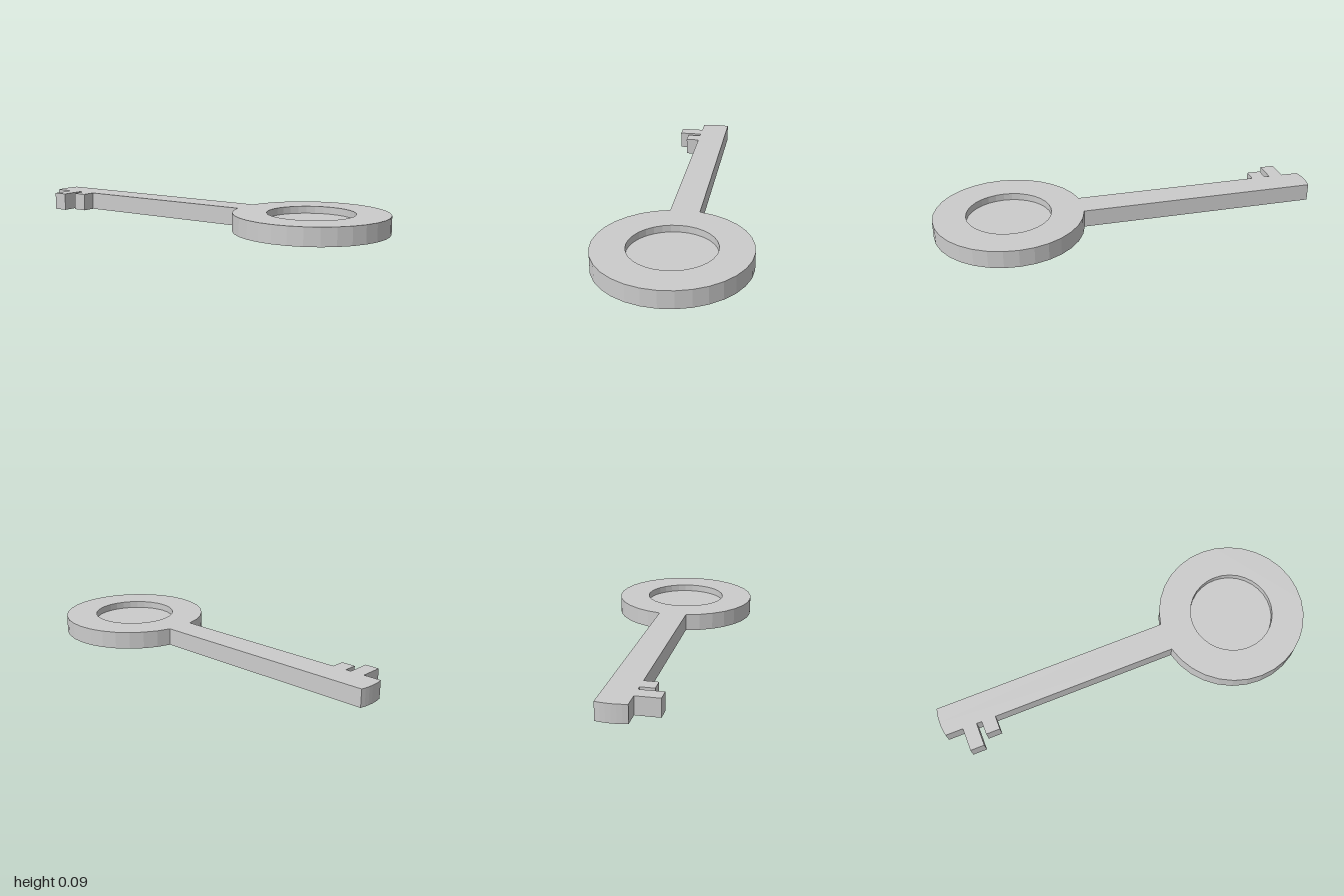
import * as THREE from 'three';

const THICK = 0.09;      // overall thickness
const BOW_X = 0.618;     // centre of the round bow
const BOW_R = 0.382;
const HOLE_R = 0.216;
const HALF = 0.0745;     // half width of the shaft
const SEGS = 32;

// Points on a circle around the bow centre, from step a to step b
function bowArc(radius, a, b) {
  const pts = [];
  for (let i = a; i <= b; i++) {
    const t = (i / SEGS) * Math.PI * 2;
    pts.push(new THREE.Vector2(BOW_X + radius * Math.cos(t), radius * Math.sin(t)));
  }
  return pts;
}

export function createModel() {
  const group = new THREE.Group();
  group.name = 'key';
  const material = new THREE.MeshStandardMaterial({ color: 0xcccccc, flatShading: true });

  // Key outline seen from above: shape y becomes z
  const p = (x, z) => new THREE.Vector2(x, z);
  const outline = [...bowArc(BOW_R, -15, 15)];
  // two teeth of the bit
  for (const [x0, x1, z] of [[-0.8, -0.727, 0.145], [-0.9, -0.827, 0.195]]) {
    outline.push(p(x1, HALF), p(x1, z), p(x0, z), p(x0, HALF));
  }
  // slightly bowed tip
  for (let i = 0; i <= 6; i++) {
    const s = 1 - i / 3;
    outline.push(p(-1 + 0.009 * s * s, HALF * s));
  }
  const shape = new THREE.Shape(outline);
  shape.holes.push(new THREE.Path(bowArc(HOLE_R, 0, SEGS - 1)));

  const bodyGeometry = new THREE.ExtrudeGeometry(shape, { depth: THICK, bevelEnabled: false });
  bodyGeometry.rotateX(Math.PI / 2);
  bodyGeometry.translate(0, THICK, 0);
  const body = new THREE.Mesh(bodyGeometry, material);
  body.name = 'bowShaftAndTeeth';
  group.add(body);

  // Thin plate closing the bow, recessed from both faces
  const webGeometry = new THREE.CylinderGeometry(HOLE_R, HOLE_R, 0.018, SEGS);
  webGeometry.rotateY(Math.PI / 2);
  const web = new THREE.Mesh(webGeometry, material);
  web.name = 'bowRecessPlate';
  web.position.set(BOW_X, THICK / 2, 0);
  group.add(web);

  return group;
}
